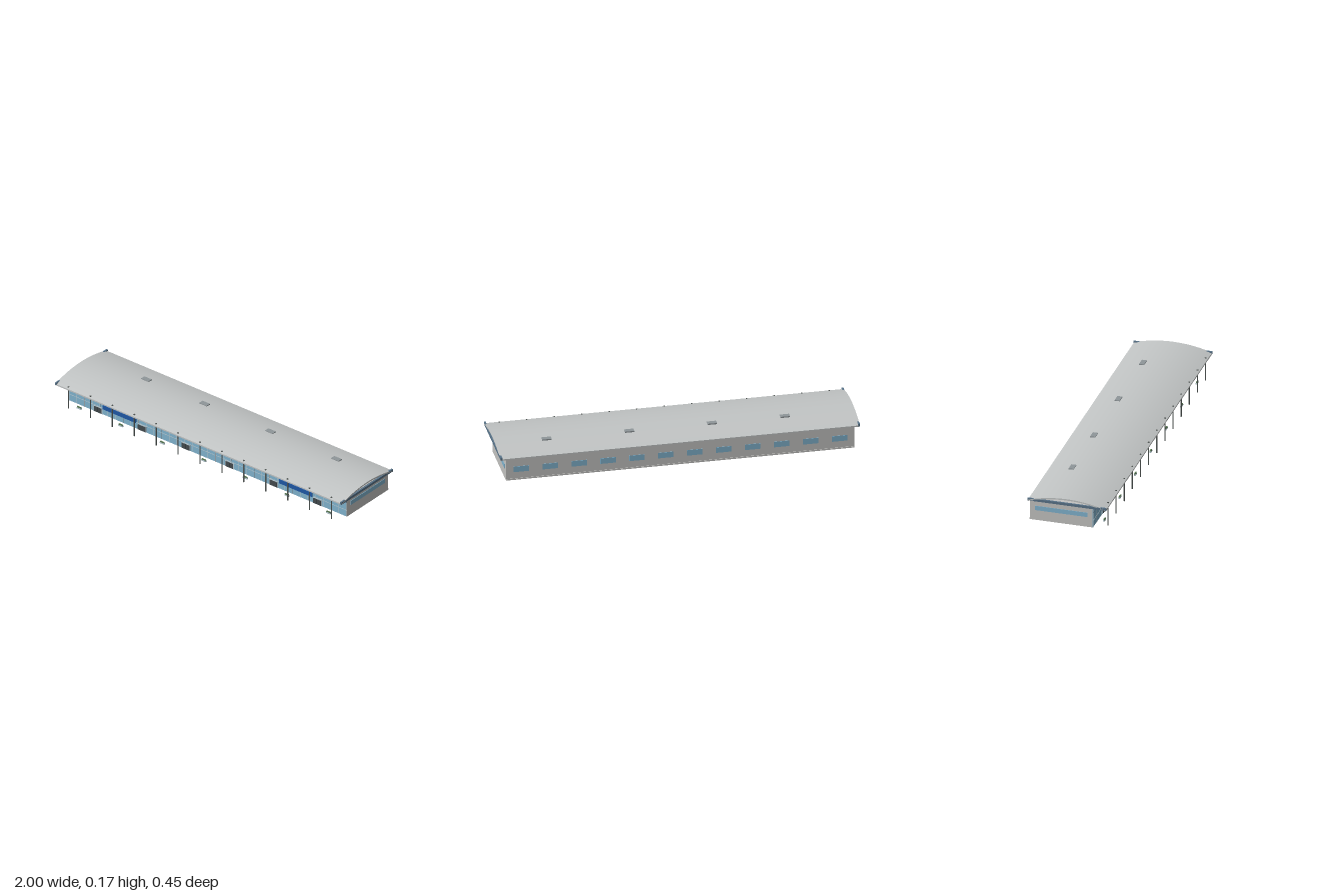
import * as THREE from 'three';
import { toCreasedNormals } from 'three/addons/utils/BufferGeometryUtils.js';

export function createModel() {
  const root = new THREE.Group();
  root.name = 'terminalHall';

  const mat = (name, color) => {
    const m = new THREE.MeshStandardMaterial({ color });
    m.name = name;
    return m;
  };
  const wall = mat('wallGrey', 0xc3c3c1);
  const roofMat = mat('roofGrey', 0xc2c5c5);
  const glass = mat('glassBlue', 0x80b2cd);
  const fasciaMat = mat('fasciaSlate', 0x587389);
  const frame = mat('frameLight', 0xb4c6ce);
  const dark = mat('darkGrey', 0x434a4e);
  const blue = mat('signBlue', 0x1f58a5);
  const steel = mat('columnSteel', 0x565c5a);
  const ventMat = mat('ventGrey', 0x8f9699);
  const green = mat('plantGreen', 0x56764f);

  const group = (name) => {
    const g = new THREE.Group();
    g.name = name;
    root.add(g);
    return g;
  };
  // Box given by its limits along each axis
  const box = (name, m, x0, x1, y0, y1, z0, z1, parent = root) => {
    const mesh = new THREE.Mesh(new THREE.BoxGeometry(x1 - x0, y1 - y0, z1 - z0), m);
    mesh.position.set((x0 + x1) / 2, (y0 + y1) / 2, (z0 + z1) / 2);
    mesh.name = name;
    parent.add(mesh);
    return mesh;
  };

  // Main hall and rear plinth
  box('hallBody', wall, -0.97, 0.97, 0, 0.123, -0.219, 0.138);
  box('rearPlinth', wall, -0.97, 0.97, 0, 0.008, -0.222, -0.219);

  // Curved roof shell, open at both ends
  const arc = (z, top) => top - 0.69 * z * z;
  const half = 0.222, steps = 32;
  const profile = new THREE.Shape();
  for (let i = 0; i <= steps; i++) {
    const z = half - (2 * half * i) / steps;
    if (i === 0) profile.moveTo(z, arc(z, 0.166));
    else profile.lineTo(z, arc(z, 0.166));
  }
  for (let i = 0; i <= steps; i++) {
    const z = -half + (2 * half * i) / steps;
    profile.lineTo(z, arc(z, 0.158));
  }
  let roofGeo = new THREE.ExtrudeGeometry(profile, { depth: 2, bevelEnabled: false });
  roofGeo.translate(0, 0, -1);
  roofGeo.rotateY(Math.PI / 2);
  roofGeo = toCreasedNormals(roofGeo, 0.5);
  const roof = new THREE.Mesh(roofGeo, roofMat);
  roof.name = 'curvedRoof';
  root.add(roof);

  // End fascias and end windows
  for (const s of [-1, 1]) {
    box('endFascia', fasciaMat, s * 0.995 - 0.005, s * 0.995 + 0.005, 0.127, 0.141, -0.224, 0.224);
    box('endWindow', glass, s * 0.971 - 0.0015, s * 0.971 + 0.0015, 0.06, 0.086, -0.19, 0.108);
  }

  // Glazed front with mullions and rails
  const front = group('frontGlazing');
  box('glassFront', glass, -0.97, 0.97, 0, 0.123, 0.137, 0.14, front);
  const bays = 36;
  for (let i = 0; i <= bays; i++) {
    const x = -0.968 + (1.936 * i) / bays;
    box('mullion', frame, x - 0.0015, x + 0.0015, 0, 0.123, 0.139, 0.1415, front);
  }
  box('lowerRail', frame, -0.97, 0.97, 0.039, 0.0415, 0.139, 0.1415, front);
  box('upperRail', fasciaMat, -0.97, 0.97, 0.089, 0.093, 0.139, 0.142, front);

  // Sign boards
  box('centreBoard', dark, -0.36, 0.355, 0.108, 0.122, 0.14, 0.145);
  for (const s of [-1, 1]) {
    box('blueBoard', blue, s * 0.615 - 0.115, s * 0.615 + 0.115, 0.036, 0.061, 0.14, 0.1455);
  }

  // Double doors
  const doors = group('entranceDoors');
  for (let i = 0; i < 6; i++) {
    const x = -0.765 + i * 0.306;
    box('doorFrame', frame, x - 0.03, x + 0.03, 0, 0.037, 0.14, 0.143, doors);
    for (const s of [-1, 1]) {
      box('doorLeaf', dark, x + s * 0.0135 - 0.0125, x + s * 0.0135 + 0.0125, 0.003, 0.034, 0.142, 0.146, doors);
    }
  }

  // Row of front columns with caps at the eave
  const columns = group('frontColumns');
  const columnGeo = new THREE.CylinderGeometry(0.0035, 0.0035, 0.13, 10);
  for (let i = 0; i < 13; i++) {
    const x = -0.918 + i * 0.153;
    const column = new THREE.Mesh(columnGeo, steel);
    column.name = 'column';
    column.position.set(x, 0.065, 0.209);
    columns.add(column);
    box('columnCap', steel, x - 0.004, x + 0.004, 0.126, 0.139, 0.205, 0.213, columns);
  }

  // Planters along the walkway
  const planters = group('planters');
  for (let i = -3; i <= 3; i++) {
    const x = i * 0.29;
    box('planterTub', frame, x - 0.015, x + 0.015, 0, 0.008, 0.171, 0.18, planters);
    box('planterHedge', green, x - 0.013, x + 0.013, 0.008, 0.013, 0.172, 0.179, planters);
  }

  // Rear windows
  const rear = group('rearWindows');
  for (let i = 0; i < 12; i++) {
    const x = -0.886 + i * 0.161;
    box('rearWindow', glass, x - 0.043, x + 0.043, 0.047, 0.08, -0.2215, -0.218, rear);
  }

  // Roof vents
  const vents = group('roofVents');
  for (const x of [-0.61, -0.204, 0.256, 0.716]) {
    box('roofVent', ventMat, x - 0.026, x + 0.026, 0.151, 0.166, -0.1, -0.071, vents);
  }

  return root;
}
